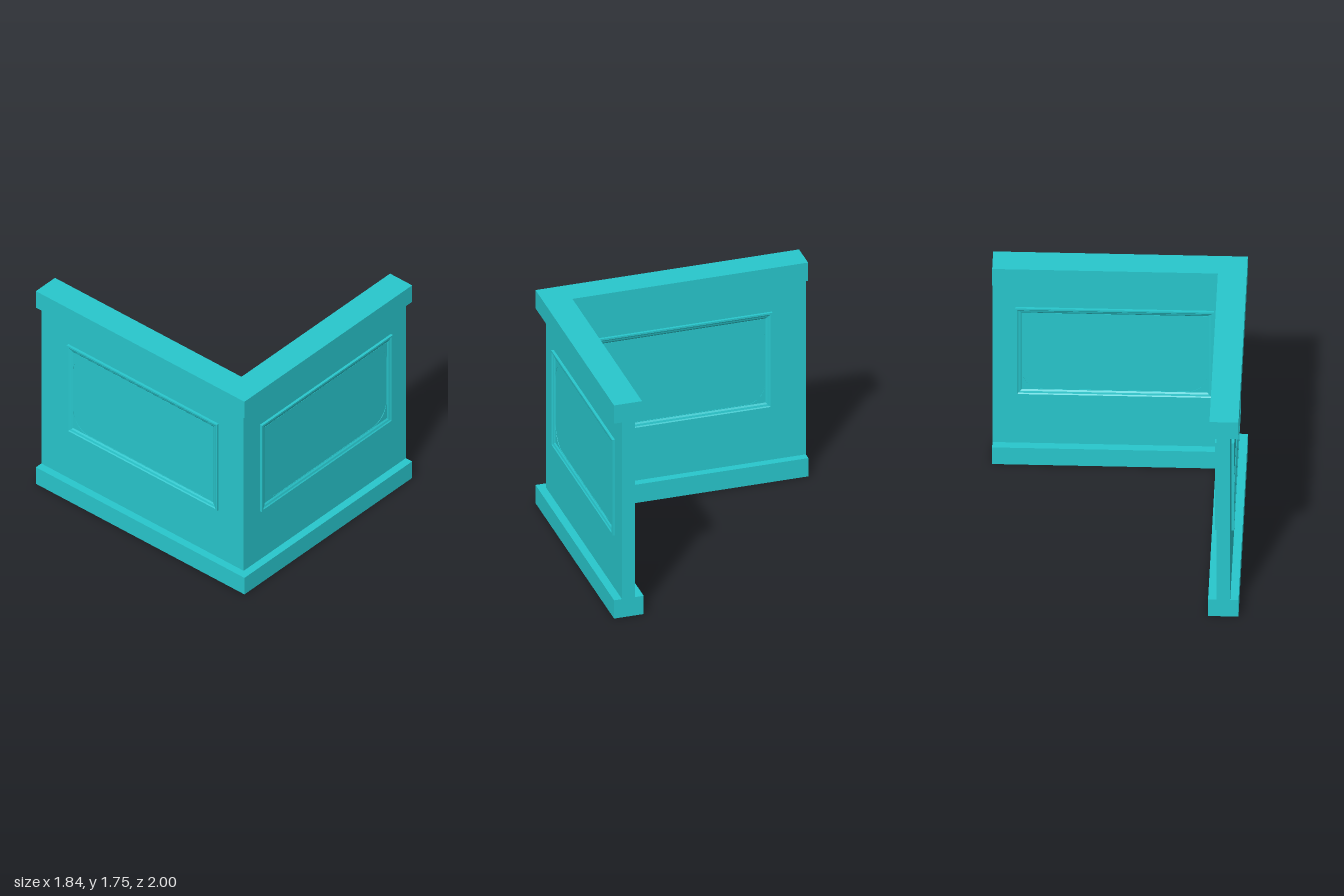
import * as THREE from 'three';

const material = new THREE.MeshStandardMaterial({ color: 0x28c6cc });

// L-shaped slab: outer and inner corner in plan, and height range
function lSlab(name, xOut, xIn, zOut, zIn, y0, y1) {
  const plan = [[xOut, zOut], [0.92, zOut], [0.92, zIn], [xIn, zIn], [xIn, -1], [xOut, -1]];
  const shape = new THREE.Shape(plan.map(([x, z]) => new THREE.Vector2(x, -z)));
  const geo = new THREE.ExtrudeGeometry(shape, { depth: y1 - y0, bevelEnabled: false });
  geo.rotateX(-Math.PI / 2).translate(0, y0, 0);
  const mesh = new THREE.Mesh(geo, material);
  mesh.name = name;
  return mesh;
}

// Mitred rectangular moulding; profile is a list of [inset, height]
function moulding(w, h, profile) {
  const pos = [];
  const corners = [[-1, -1], [1, -1], [1, 1], [-1, 1]];
  const at = (c, [inset, z]) => [c[0] * (w / 2 - inset), c[1] * (h / 2 - inset), z];
  for (let i = 0; i < 4; i++) {
    const c0 = corners[i], c1 = corners[(i + 1) % 4];
    for (let j = 0; j < profile.length - 1; j++) {
      const a = at(c0, profile[j]), b = at(c1, profile[j]);
      const c = at(c1, profile[j + 1]), d = at(c0, profile[j + 1]);
      pos.push(...a, ...b, ...c, ...a, ...c, ...d);
    }
  }
  const geo = new THREE.BufferGeometry();
  geo.setAttribute('position', new THREE.Float32BufferAttribute(pos, 3));
  geo.computeVertexNormals();
  return geo;
}

// Thin rim whose opening has rounded corners
function roundedRim(w, h, r, depth) {
  const x = w / 2, y = h / 2;
  const shape = new THREE.Shape([[-x, -y], [x, -y], [x, y], [-x, y]].map(p => new THREE.Vector2(...p)));
  const hx = x - 0.003, hy = y - 0.003;
  const hole = new THREE.Path();
  hole.absarc(hx - r, hy - r, r, 0, Math.PI / 2);
  hole.absarc(-hx + r, hy - r, r, Math.PI / 2, Math.PI);
  hole.absarc(-hx + r, -hy + r, r, Math.PI, Math.PI * 1.5);
  hole.absarc(hx - r, -hy + r, r, Math.PI * 1.5, Math.PI * 2);
  hole.closePath();
  shape.holes.push(hole);
  return new THREE.ExtrudeGeometry(shape, { depth, bevelEnabled: false, curveSegments: 10 });
}

function panel(name, w, h, position, turn) {
  const group = new THREE.Group();
  group.name = name;
  const frame = new THREE.Mesh(
    moulding(w, h, [[0, 0], [0, 0.02], [0.014, 0.02], [0.022, 0.014], [0.036, 0.01], [0.05, 0]]), material);
  frame.name = 'panelFrame';
  const rim = new THREE.Mesh(roundedRim(w - 0.096, h - 0.096, 0.15, 0.003), material);
  rim.name = 'panelRim';
  group.add(frame, rim);
  group.position.set(...position);
  group.rotation.y = turn;
  return group;
}

export function createModel() {
  const model = new THREE.Group();
  model.name = 'cornerWall';

  // Plinth, wall and cap
  model.add(
    lSlab('base', -0.92, -0.70, 1, 0.775, 0, 0.15),
    lSlab('wall', -0.86, -0.76, 0.94, 0.84, 0.15, 1.6),
    lSlab('cap', -0.92, -0.71, 1, 0.788, 1.6, 1.75));

  // Framed panels on both faces of each wing
  model.add(
    panel('frontOuterPanel', 1.435, 0.785, [0.037, 0.981, 0.94], 0),
    panel('frontInnerPanel', 1.435, 0.785, [0.037, 0.981, 0.84], Math.PI),
    panel('sideOuterPanel', 1.44, 0.785, [-0.86, 0.973, -0.02], -Math.PI / 2),
    panel('sideInnerPanel', 1.44, 0.785, [-0.76, 0.973, -0.02], Math.PI / 2));
  return model;
}
